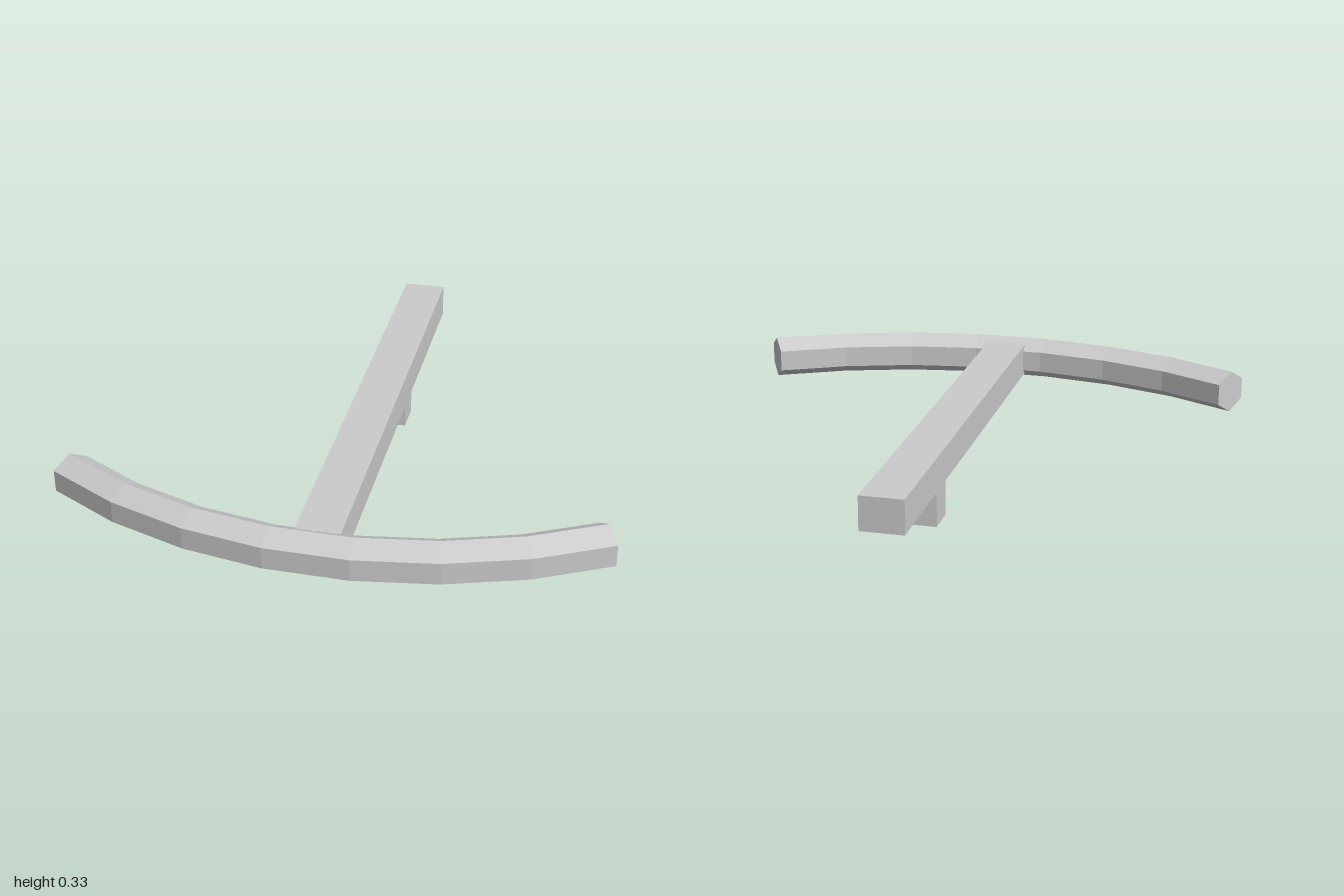
import * as THREE from 'three';

const material = new THREE.MeshStandardMaterial({ color: 0xcccccc, flatShading: true });

function addBox(group, name, min, max) {
  const size = max.map((v, i) => v - min[i]);
  const mesh = new THREE.Mesh(new THREE.BoxGeometry(...size), material);
  mesh.position.set(...max.map((v, i) => (v + min[i]) / 2));
  mesh.name = name;
  group.add(mesh);
}

// Six-sided bar along x, bent into a horizontal arc bulging towards +z
function bentBar(thickness, radius, sweep, segments) {
  const bar = new THREE.CylinderGeometry(thickness, thickness, 1, 6, segments, false, Math.PI / 2);
  bar.rotateZ(Math.PI / 2);
  const p = bar.attributes.position;
  for (let i = 0; i < p.count; i++) {
    const angle = p.getX(i) * sweep;
    const r = radius + p.getZ(i);
    p.setXYZ(i, Math.sin(angle) * r, p.getY(i), Math.cos(angle) * r - radius);
  }
  const flat = bar.toNonIndexed();
  flat.computeVertexNormals();
  return flat;
}

export function createModel() {
  const group = new THREE.Group();
  group.name = 'crossbow';

  // Curved bow across the front, turned very slightly
  const bow = new THREE.Mesh(bentBar(0.083, 1.79, THREE.MathUtils.degToRad(65), 7), material);
  bow.name = 'bow';
  bow.position.set(0, 0.243, 0.921);
  bow.rotation.y = -0.0125;
  group.add(bow);

  // Long stock and the short grip below it
  addBox(group, 'stock', [-0.065, 0.18, -0.995], [0.095, 0.306, 0.88]);
  addBox(group, 'grip', [-0.033, 0, -0.47], [0.065, 0.19, -0.347]);

  return group;
}
